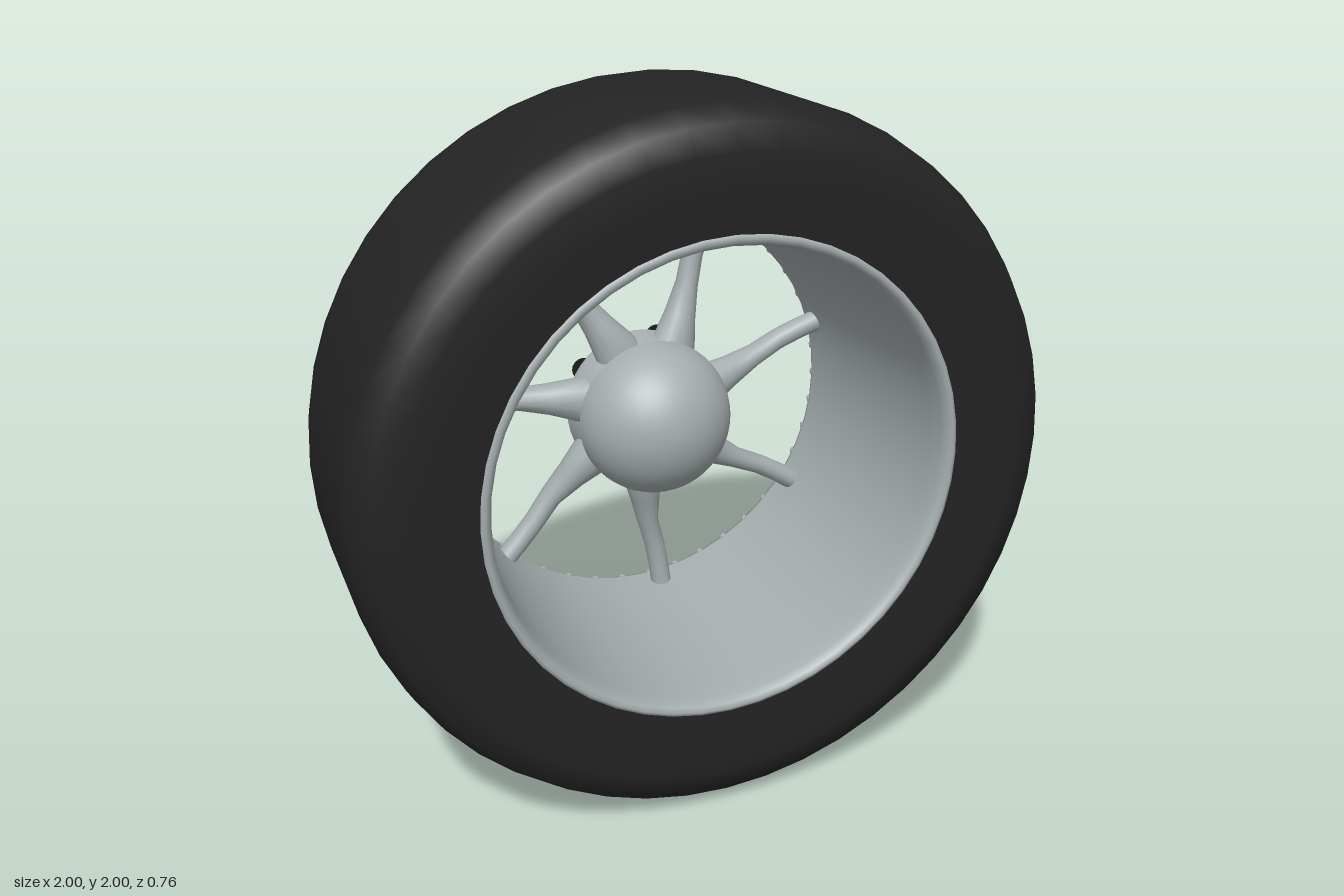
import * as THREE from 'three';

const rubber = new THREE.MeshStandardMaterial({ name: 'black rubber', color: 0x232323 });
const metal = new THREE.MeshStandardMaterial({ name: 'grey metal', color: 0xa5adaf });
const dark = new THREE.MeshStandardMaterial({ name: 'dark cap', color: 0x1b1b1b });

function add(parent, name, geometry, material, x = 0, y = 0, z = 0) {
  const mesh = new THREE.Mesh(geometry, material);
  mesh.name = name;
  mesh.position.set(x, y, z);
  parent.add(mesh);
  return mesh;
}

// Revolves [radius, z] points around the z axis
function revolve(points, segments = 48) {
  const profile = points.map(([r, z]) => new THREE.Vector2(r, z));
  return new THREE.LatheGeometry(profile, segments).rotateX(Math.PI / 2);
}

// Tapered, curved spoke made of elliptical rings: [radius, angle, z, half width, half depth]
function spokeGeometry() {
  const rings = [
    [0.12, -0.13, -0.275, 0.085, 0.06],
    [0.22, -0.12, -0.28, 0.066, 0.056],
    [0.30, -0.08, -0.295, 0.047, 0.048],
    [0.39, -0.05, -0.31, 0.033, 0.04],
    [0.48, -0.01, -0.31, 0.031, 0.036],
    [0.56, 0.0, -0.305, 0.031, 0.034],
    [0.625, 0.0, -0.30, 0.032, 0.034],
  ];
  const sides = 14, positions = [], index = [];
  rings.forEach(([r, a, z, w, d], i) => {
    for (let j = 0; j < sides; j++) {
      const t = (j / sides) * Math.PI * 2;
      const side = r * Math.sin(a) + w * Math.cos(t);
      positions.push(r * Math.cos(a), side, z + d * Math.sin(t));
      if (i === 0) continue;
      const k = (j + 1) % sides, p = (i - 1) * sides, q = i * sides;
      index.push(p + j, p + k, q + j, p + k, q + k, q + j);
    }
  });
  const geometry = new THREE.BufferGeometry();
  geometry.setAttribute('position', new THREE.Float32BufferAttribute(positions, 3));
  geometry.setIndex(index);
  geometry.computeVertexNormals();
  return geometry;
}

export function createModel() {
  const wheel = new THREE.Group();
  wheel.name = 'wheel';
  const body = new THREE.Group();
  body.name = 'wheelBody';
  body.position.y = 1;
  wheel.add(body);

  // Tyre with rounded shoulders
  add(body, 'tyre', revolve([
    [0.632, -0.365], [0.66, -0.374], [0.78, -0.375], [0.88, -0.375], [0.95, -0.36],
    [0.988, -0.28], [1, -0.21], [1, 0], [1, 0.21], [0.988, 0.28],
    [0.95, 0.36], [0.88, 0.375], [0.78, 0.375], [0.67, 0.37],
  ]), rubber);

  // Deep rim barrel with a rolled front lip
  add(body, 'rimBarrel', revolve([
    [0.68, 0.365], [0.678, 0.376], [0.668, 0.38], [0.655, 0.374], [0.646, 0.35],
    [0.64, 0.3], [0.63, 0.1], [0.618, -0.15], [0.608, -0.355],
  ]), metal);
  add(body, 'rimBackEdge', revolve([[0.608, -0.355], [0.612, -0.367], [0.636, -0.367]]), metal);

  // Small rivets around the back edge of the rim
  const rivet = new THREE.SphereGeometry(0.014, 8, 6);
  for (let i = 0; i < 42; i++) {
    const a = (i / 42) * Math.PI * 2;
    add(body, 'rimRivet', rivet, metal, 0.62 * Math.cos(a), 0.62 * Math.sin(a), -0.368);
  }

  // Hub: front dome, flange underside, body and back plate
  const dome = [];
  for (let i = 0; i <= 12; i++) {
    const t = (i / 12) * Math.PI / 2;
    dome.push([Math.max(0.23 * Math.cos(t), 0), -0.2 + 0.22 * Math.sin(t)]);
  }
  add(body, 'hubDome', revolve(dome), metal);
  add(body, 'hubFlange', revolve([[0.17, -0.2], [0.23, -0.2]]), metal);
  add(body, 'hubBody', revolve([[0.225, -0.335], [0.23, -0.315], [0.215, -0.26], [0.19, -0.2]]), metal);
  add(body, 'hubBackPlate', revolve([[0, -0.34], [0.21, -0.34], [0.225, -0.335]]), metal);
  const cap = add(body, 'axleCap', new THREE.CylinderGeometry(0.088, 0.088, 0.008, 32), dark, 0, 0, -0.341);
  cap.rotation.x = Math.PI / 2;

  // Five hub bolts, each over a dark socket
  const bolt = new THREE.CylinderGeometry(0.023, 0.023, 0.035, 12).rotateX(Math.PI / 2);
  const socket = new THREE.CylinderGeometry(0.034, 0.034, 0.008, 16).rotateX(Math.PI / 2);
  for (let i = 0; i < 5; i++) {
    const a = (i / 5) * Math.PI * 2, c = Math.cos(a), s = Math.sin(a);
    add(body, 'boltSocket', socket, dark, 0.208 * c, 0.208 * s, -0.339);
    add(body, 'hubBolt', bolt, metal, 0.198 * c, 0.198 * s, -0.35);
  }

  // Seven spokes
  const spoke = spokeGeometry();
  for (let i = 0; i < 7; i++) {
    const mesh = add(body, 'spoke', spoke, metal);
    mesh.rotation.z = THREE.MathUtils.degToRad(18.5) + (i / 7) * Math.PI * 2;
  }
  return wheel;
}
